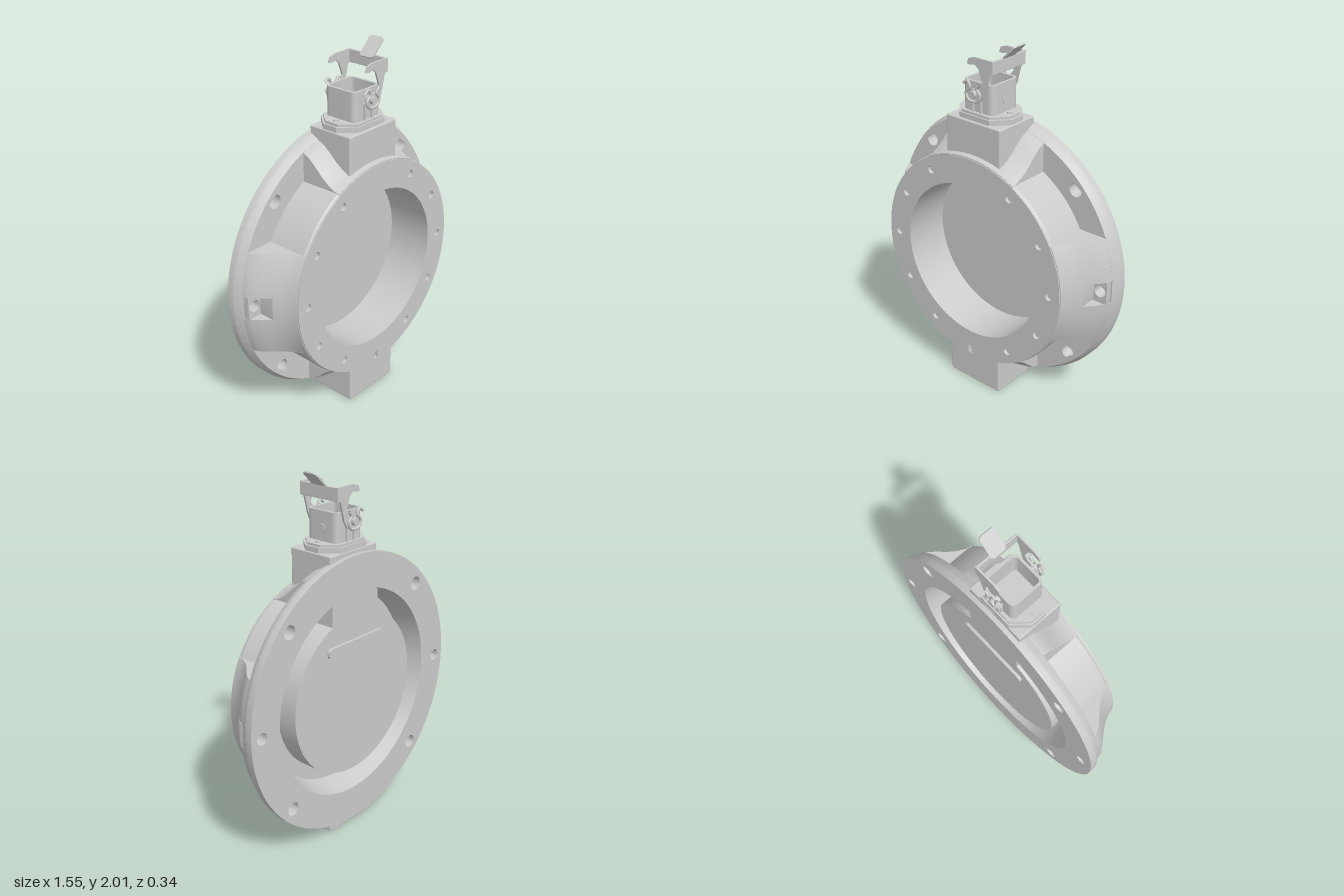
import * as THREE from 'three';
import { toCreasedNormals } from 'three/addons/utils/BufferGeometryUtils.js';
import { RoundedBoxGeometry } from 'three/addons/geometries/RoundedBoxGeometry.js';

const CY = 0.81; // height of the ring axis
const material = new THREE.MeshStandardMaterial({ color: 0xcccccc, side: THREE.DoubleSide });

function add(parent, name, geometry, x = 0, y = 0, z = 0) {
  const mesh = new THREE.Mesh(geometry, material);
  mesh.name = name;
  mesh.position.set(x, y, z);
  parent.add(mesh);
  return mesh;
}

const box = (w, h, d, r = 0.008) => new RoundedBoxGeometry(w, h, d, 2, r);
const polygon = (pts) => new THREE.Shape(pts.map(([x, y]) => new THREE.Vector2(x, y)));
const circle = (r, x = 0, y = 0) => new THREE.Shape().absarc(x, y, r, 0, Math.PI * 2, false);

function rounded(w, h, r) {
  const s = new THREE.Shape(), a = w / 2 - r, b = h / 2 - r;
  s.absarc(a, b, r, 0, Math.PI / 2);
  s.absarc(-a, b, r, Math.PI / 2, Math.PI);
  s.absarc(-a, -b, r, Math.PI, Math.PI * 1.5);
  s.absarc(a, -b, r, Math.PI * 1.5, Math.PI * 2);
  s.closePath();
  return s;
}

function extrude(shape, depth, holes = [], segments = 24, steps = 1) {
  shape.holes.push(...holes);
  return new THREE.ExtrudeGeometry(shape, { depth, steps, curveSegments: segments, bevelEnabled: false });
}
const smooth = (g) => toCreasedNormals(g, 0.5);
const upright = (g) => smooth(g.rotateX(-Math.PI / 2));

// Sweeps a closed (radius, z) section around the axis, between tangential offsets v0 and v1
function arm(section, v0, v1, n = 16) {
  const pos = [], m = section.length;
  const at = (i, j) => {
    const v = v0 + (v1 - v0) * i / n, [r, z] = section[j % m];
    return [Math.sqrt(r * r - v * v), v, z];
  };
  const tri = (a, b, c) => pos.push(...a, ...b, ...c);
  for (let i = 0; i < n; i++) for (let j = 0; j < m; j++) {
    const a = at(i, j), b = at(i, j + 1), c = at(i + 1, j + 1), d = at(i + 1, j);
    tri(a, d, c);
    tri(a, c, b);
  }
  const flat = section.map(([r, z]) => new THREE.Vector2(r, z));
  for (const [a, b, c] of THREE.ShapeUtils.triangulateShape(flat, [])) {
    tri(at(0, a), at(0, b), at(0, c));
    tri(at(n, a), at(n, c), at(n, b));
  }
  const g = new THREE.BufferGeometry();
  g.setAttribute('position', new THREE.Float32BufferAttribute(pos, 3));
  return smooth(g);
}

function buildBody() {
  const body = new THREE.Group();
  body.name = 'body';
  body.position.y = CY;

  // Rear flange with six bolt holes; its front rim is drawn in a little
  const bolts = [circle(0.58), circle(0.033, 0.703), circle(0.033, -0.703)];
  for (const x of [-0.497, 0.497]) for (const y of [-0.497, 0.497]) bolts.push(circle(0.038, x, y));
  const flange = extrude(circle(0.775), 0.08, bolts, 40, 2);
  const p = flange.attributes.position;
  for (let i = 0; i < p.count; i++) {
    if (p.getZ(i) > 0.07 && Math.hypot(p.getX(i), p.getY(i)) > 0.77) {
      p.setXY(i, p.getX(i) * 0.972, p.getY(i) * 0.972);
    }
  }
  flange.computeVertexNormals();
  add(body, 'rearFlange', smooth(flange), 0, 0, -0.165);

  // Central ring with the bore and the groove at the back
  const core = [[0.61, -0.1], [0.612, 0.145], [0.606, 0.155], [0.6, 0.155], [0.6, 0.146], [0.45, 0.146],
    [0.45, -0.155], [0.46, -0.155], [0.46, -0.03], [0.54, -0.03], [0.58, -0.165]];
  const lathe = new THREE.LatheGeometry(core.map(([r, z]) => new THREE.Vector2(r, z)), 96);
  add(body, 'centralRing', smooth(lathe.rotateX(Math.PI / 2)));

  // Front face with ten screw holes and a locating slot
  const screws = [circle(0.45)];
  for (let k = 0; k < 12; k++) {
    if (k % 6 === 3) continue;
    const a = k * Math.PI / 6;
    screws.push(circle(0.021, 0.537 * Math.cos(a), 0.537 * Math.sin(a)));
  }
  screws.push(polygon([[-0.013, -0.598], [0.013, -0.598], [0.013, -0.55], [-0.013, -0.55]]));
  add(body, 'frontFace', smooth(extrude(circle(0.606), 0.02, screws, 40)), 0, 0, 0.145);

  // Closing disc with four small holes, and the bar behind them
  const pins = [-0.19, -0.085, 0.08, 0.185].map((x) => circle(0.012, x, 0.29));
  add(body, 'disc', smooth(extrude(circle(0.453), 0.056, pins, 40)), 0, 0, -0.156);
  add(body, 'rearBar', smooth(extrude(rounded(0.44, 0.055, 0.027), 0.024)), 0, 0.29, -0.172);

  // Four curved arms, leaving the corner pockets free between them
  const curve = [[0.735, -0.045], [0.7, 0], [0.665, 0.04], [0.636, 0.085], [0.618, 0.125], [0.61, 0.16]];
  const inner = [[0.59, 0.155], [0.59, -0.1]];
  const full = [[0.752, -0.1], [0.752, -0.085], ...curve, ...inner];
  const notched = [[0.665, -0.1], ...curve.slice(2), ...inner];
  for (let k = 0; k < 4; k++) {
    const g = new THREE.Group();
    g.name = k % 2 ? 'uprightArm' : 'sideArm';
    g.rotation.z = k * Math.PI / 2;
    body.add(g);
    if (k % 2) {
      add(g, 'armShell', arm(full, -0.29, 0.29, 24));
    } else {
      add(g, 'lowerShell', arm(full, -0.29, -0.065));
      add(g, 'notchShell', arm(notched, -0.065, 0.065, 6));
      add(g, 'upperShell', arm(full, 0.065, 0.29));
      const seat = polygon([[0.655, -0.065], [0.742, -0.065], [0.745, 0], [0.742, 0.065], [0.655, 0.065]]);
      add(g, 'notchSeat', smooth(extrude(seat, 0.05, [circle(0.033, 0.703)])), 0, 0, -0.1);
    }
  }

  // Blocks at the top and the bottom
  add(body, 'topBlock', box(0.36, 0.235, 0.27), 0, 0.68, -0.005);
  add(body, 'bottomBlock', box(0.36, 0.24, 0.27), 0, -0.69, -0.005);
  add(body, 'innerBlock', box(0.356, 0.19, 0.165, 0.003), 0, 0.495, -0.0735);
  return body;
}

function buildConnector() {
  const g = new THREE.Group();
  g.name = 'connector';
  g.position.z = -0.01;

  // Base plate, gasket and screws
  const plate = (s) => polygon([[-0.175, -0.045], [-0.1, -0.128], [0.1, -0.128], [0.175, -0.045],
    [0.175, 0.045], [0.1, 0.128], [-0.1, 0.128], [-0.175, 0.045]].map(([x, y]) => [x * s, y * s]));
  add(g, 'basePlate', upright(extrude(plate(1), 0.03)), 0, 1.605, 0);
  add(g, 'gasket', upright(extrude(plate(0.93), 0.013)), 0, 1.635, 0);
  for (const x of [-0.128, 0.128]) add(g, 'baseScrew', new THREE.CylinderGeometry(0.015, 0.015, 0.01, 20), x, 1.65, 0);

  // Open shell with a side boss
  const wall = extrude(rounded(0.2, 0.2, 0.03), 0.145, [rounded(0.172, 0.172, 0.02)], 8);
  add(g, 'shell', upright(wall), 0, 1.66, 0);
  add(g, 'shellFloor', upright(extrude(rounded(0.2, 0.2, 0.03), 0.02)), 0, 1.642, 0);
  add(g, 'sideBoss', new THREE.CylinderGeometry(0.025, 0.025, 0.006, 24).rotateZ(Math.PI / 2), 0.101, 1.715, 0);

  // Pivots, clips and lever cheeks on both faces
  const cheek = [[-0.045, 1.9], [-0.035, 1.928], [0, 1.94], [0.12, 1.94], [0.12, 1.872], [0.098, 1.865],
    [0.07, 1.76], [0.045, 1.722], [0, 1.712], [-0.03, 1.735], [-0.02, 1.775], [0.035, 1.785],
    [0.055, 1.815], [0.03, 1.885], [0.005, 1.905], [-0.02, 1.897]];
  const clip = [[-0.06, 1.8, 0], [-0.035, 1.815, 0], [-0.02, 1.785, 0], [-0.045, 1.755, 0], [-0.03, 1.72, 0],
    [0.03, 1.72, 0], [0.045, 1.755, 0], [0.025, 1.785, 0], [0.045, 1.81, 0]];
  const path = new THREE.CatmullRomCurve3(clip.map((q) => new THREE.Vector3(...q)));
  for (const s of [-1, 1]) {
    add(g, 'leverCheek', smooth(extrude(polygon(cheek), 0.01)), 0, 0, s * 0.122 - 0.005);
    add(g, 'springClip', new THREE.TubeGeometry(path, 40, 0.008, 8), 0, 0, s * 0.134);
    add(g, 'pivot', new THREE.CylinderGeometry(0.02, 0.02, 0.05, 20).rotateX(Math.PI / 2), 0, 1.752, s * 0.121);
    for (const x of [-0.027, 0.027]) add(g, 'shellRib', box(0.012, 0.09, 0.016, 0.003), x, 1.69, s * 0.104);
  }

  // Bridge joining the cheeks, with the finger tab
  add(g, 'leverBridge', box(0.012, 0.07, 0.254, 0.004), 0.115, 1.905, 0);
  const tab = add(g, 'fingerTab', smooth(extrude(rounded(0.09, 0.125, 0.02), 0.008)), 0.145, 1.966, 0);
  tab.geometry.translate(0, 0, -0.004).rotateY(Math.PI / 2);
  tab.rotation.z = -0.8;
  return g;
}

export function createModel() {
  const model = new THREE.Group();
  model.name = 'flangedHousing';
  model.add(buildBody(), buildConnector());
  return model;
}
